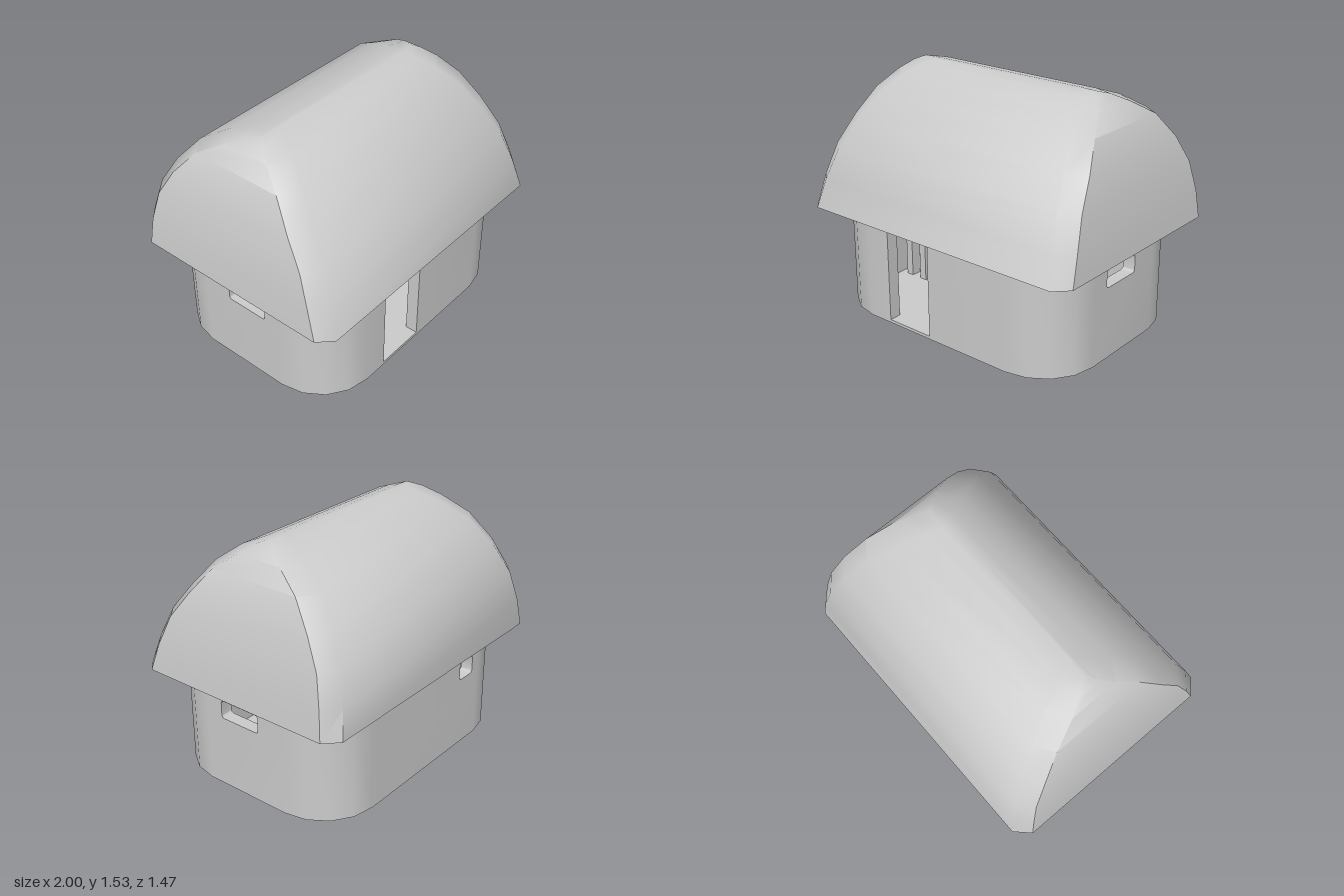
import * as THREE from 'three';
import { mergeGeometries, toCreasedNormals } from 'three/addons/utils/BufferGeometryUtils.js';

const HX = 0.54, HZ = 0.295, R = 0.36, T = 0.08; // straight half lengths, corner radius, wall thickness
const WALL_TOP = 0.69, FLOOR = 0.02;

function rectPath(x0, x1, y0, y1, r = 0, P = THREE.Path) {
  const p = new P();
  p.moveTo(x0 + r, y0);
  p.lineTo(x1 - r, y0);
  if (r) p.absarc(x1 - r, y0 + r, r, -Math.PI / 2, 0);
  p.lineTo(x1, y1 - r);
  if (r) p.absarc(x1 - r, y1 - r, r, 0, Math.PI / 2);
  p.lineTo(x0 + r, y1);
  if (r) p.absarc(x0 + r, y1 - r, r, Math.PI / 2, Math.PI);
  p.lineTo(x0, y0 + r);
  if (r) p.absarc(x0 + r, y0 + r, r, Math.PI, Math.PI * 1.5);
  p.closePath();
  return p;
}

const extrude = (shape, depth, curveSegments = 2) =>
  new THREE.ExtrudeGeometry(shape, { depth, bevelEnabled: false, curveSegments });

// Straight wall with one opening, pushed out from the centre and turned to its side
function wallPanel(half, distance, angle, hole) {
  const shape = rectPath(-half, half, 0, WALL_TOP, 0, THREE.Shape);
  shape.holes.push(hole);
  return extrude(shape, T, 3).translate(0, 0, distance - T).rotateY(angle);
}

function wallGeometry() {
  const parts = [
    wallPanel(HX, HZ + R, 0, rectPath(-0.38, -0.05, FLOOR, 0.65)),
    wallPanel(HX, HZ + R, Math.PI, rectPath(0.34, 0.48, 0.46, 0.58, 0.02)),
    wallPanel(HZ, HX + R, Math.PI / 2, rectPath(-0.18, 0.105, 0.46, 0.575, 0.02)),
    wallPanel(HZ, HX + R, -Math.PI / 2, rectPath(-0.105, 0.18, 0.46, 0.575, 0.02)),
  ];
  // Rounded corners
  for (let i = 0; i < 4; i++) {
    const a = i * Math.PI / 2;
    const cx = (i === 0 || i === 3 ? 1 : -1) * HX, cy = (i < 2 ? 1 : -1) * HZ;
    const s = new THREE.Shape();
    s.absarc(cx, cy, R, a, a + Math.PI / 2, false);
    s.absarc(cx, cy, R - T, a + Math.PI / 2, a, true);
    s.closePath();
    parts.push(extrude(s, WALL_TOP).rotateX(-Math.PI / 2));
  }
  return toCreasedNormals(mergeGeometries(parts), 0.6);
}

// Hollow roof: rings run up the inside, round the eave rim and up the outside
function roofGeometry() {
  // y, half length, front z, back z
  const levels = [
    [0.66, 1.0, 0.735, -0.735], [0.84, 0.98, 0.675, -0.715], [1.03, 0.945, 0.595, -0.672],
    [1.2, 0.9, 0.47, -0.575], [1.36, 0.835, 0.34, -0.44], [1.46, 0.765, 0.21, -0.27],
    [1.515, 0.7, 0.09, -0.12], [1.535, 0.655, 0.02, -0.02],
  ];
  const ring = ([y, x, f, b], t) => {
    const c = Math.min(0.085, (f - b) * 0.2);
    const k = 0.085 + 0.05 * (y - 0.66);
    const inset = Math.min(t, (f - b) * 0.3);
    const X = x - t, F = f - inset, B = b + inset, Y = t && y > 0.67 ? y - t : y;
    return [[X - k, F], [X, F - c], [X, B + c], [X - k, B], [k - X, B], [-X, B + c], [-X, F - c], [k - X, F]]
      .map(([px, pz]) => [px, Y, pz]);
  };
  const rings = [
    ...levels.map(l => ring(l, 0.035)).reverse(),
    ...levels.map(l => ring(l, 0)),
  ];
  const pos = rings.flat(2), idx = [];
  for (let r = 0; r < rings.length - 1; r++) {
    for (let i = 0; i < 8; i++) {
      const a = r * 8 + i, b = r * 8 + (i + 1) % 8;
      idx.push(a, b, b + 8, a, b + 8, a + 8);
    }
  }
  const top = (rings.length - 1) * 8;
  for (let i = 1; i < 7; i++) {
    idx.push(top, top + i, top + i + 1);
    idx.push(0, i + 1, i);
  }
  const g = new THREE.BufferGeometry();
  g.setAttribute('position', new THREE.Float32BufferAttribute(pos, 3));
  g.setIndex(idx);
  return toCreasedNormals(g, 0.75);
}

export function createModel() {
  const model = new THREE.Group();
  model.name = 'hut';
  const material = new THREE.MeshStandardMaterial({ color: 0xcccccc });
  const add = (name, geometry, parent = model) => {
    const m = new THREE.Mesh(geometry, material);
    m.name = name;
    parent.add(m);
    return m;
  };
  const box = (name, x0, x1, y0, y1, z0, z1, parent) =>
    add(name, new THREE.BoxGeometry(x1 - x0, y1 - y0, z1 - z0), parent)
      .position.set((x0 + x1) / 2, (y0 + y1) / 2, (z0 + z1) / 2);

  add('walls', wallGeometry());
  add('roof', roofGeometry());

  // Floor slab fits just inside the outer wall face
  const e = 0.002;
  const slab = rectPath(-HX - R + e, HX + R - e, -HZ - R + e, HZ + R - e, R - e, THREE.Shape);
  add('floor', extrude(slab, FLOOR).rotateX(-Math.PI / 2));

  // Cabinet with three open shelves
  const cabinet = new THREE.Group();
  cabinet.name = 'cabinet';
  model.add(cabinet);
  const front = rectPath(-0.35, -0.04, FLOOR, 0.65, 0, THREE.Shape);
  for (const y of [0.28, 0.405, 0.53]) front.holes.push(rectPath(-0.31, -0.09, y, y + 0.083));
  add('cabinetFront', extrude(front, 0.15).translate(0, 0, -0.215), cabinet);
  box('cabinetBack', -0.35, -0.04, FLOOR, 0.65, -0.25, -0.215, cabinet);

  // Small table near the end wall
  const table = new THREE.Group();
  table.name = 'table';
  model.add(table);
  box('tableTop', -0.78, -0.59, 0.3, 0.34, -0.2, 0.13, table);
  for (const x of [-0.77, -0.65]) {
    for (const z of [-0.18, 0.04]) box('tableLeg', x, x + 0.05, FLOOR, 0.3, z, z + 0.07, table);
  }
  return model;
}
